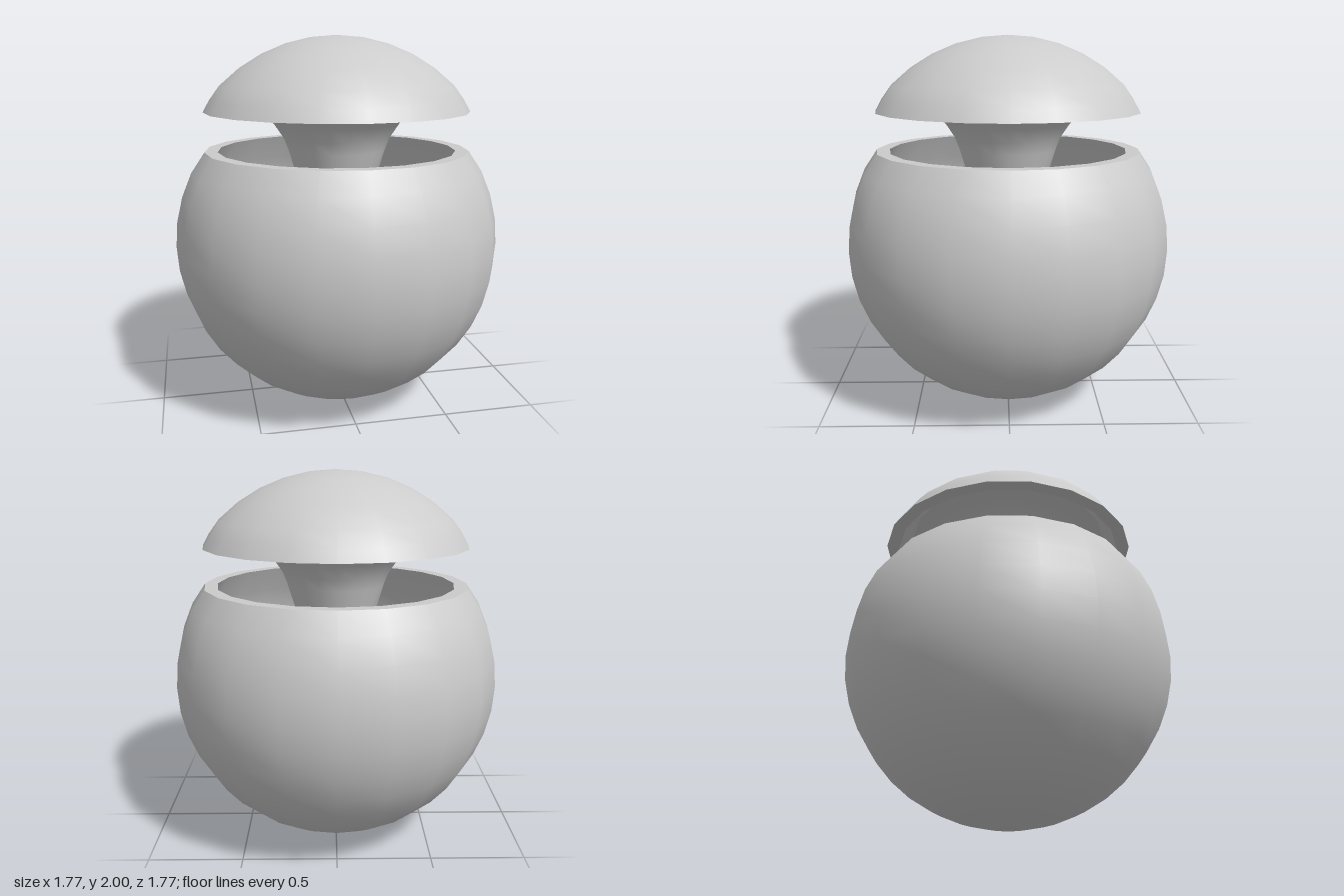
import * as THREE from 'three';

const SIDES = 20;
const material = new THREE.MeshStandardMaterial({ color: 0xcccccc });

// Points on a circle about the axis; angles in degrees measured from the top
function arc(radius, centreY, from, to, steps) {
  return Array.from({ length: steps + 1 }, (_, i) => {
    const a = THREE.MathUtils.degToRad(from + ((to - from) * i) / steps);
    return [Math.max(0, radius * Math.sin(a)), centreY + radius * Math.cos(a)];
  });
}

// Smooth surface of revolution; separate profiles keep the rims sharp
function turned(name, profile) {
  const points = profile.map(([r, y]) => new THREE.Vector2(r, y));
  const mesh = new THREE.Mesh(new THREE.LatheGeometry(points, SIDES), material);
  mesh.name = name;
  return mesh;
}

export function createModel() {
  const model = new THREE.Group();
  model.name = 'openBallWithLid';

  // Hollow round bowl with a flat rim
  const rimY = 1.395, rimOuter = 0.715, rimInner = 0.645;
  const bowl = new THREE.Group();
  bowl.name = 'bowl';
  bowl.add(
    turned('bowlOuter', [...arc(0.885, 0.885, 180, 63, 13), [rimOuter, rimY]]),
    turned('bowlRim', [[rimOuter, rimY], [rimInner, rimY]]),
    turned('bowlInner', [[rimInner, rimY], ...arc(0.81, 0.885, 63, 180, 13)])
  );

  // Domed lid floating above the bowl
  const lidY = 1.605;
  const lid = new THREE.Group();
  lid.name = 'lid';
  lid.add(
    turned('lidOuter', [[rimOuter, lidY], [0.68, 1.667], ...arc(0.885, 1.115, 45, 0, 5)]),
    turned('lidRim', [[rimInner, lidY], [rimOuter, lidY]]),
    turned('lidInner', [...arc(0.81, 1.115, 0, 45, 5), [rimInner, lidY]])
  );

  // Flared plug hanging from the lid, with a rounded tip
  const plug = turned('plug', [
    [0, 1.09], [0.09, 1.1], [0.15, 1.13], [0.2, 1.2], [0.23, 1.28], [0.265, 1.395],
    [0.29, 1.46], [0.34, 1.535], [0.41, 1.605], [0.48, 1.66], [0.57, 1.7]
  ]);
  plug.material = material;

  model.add(bowl, lid, plug);
  return model;
}
